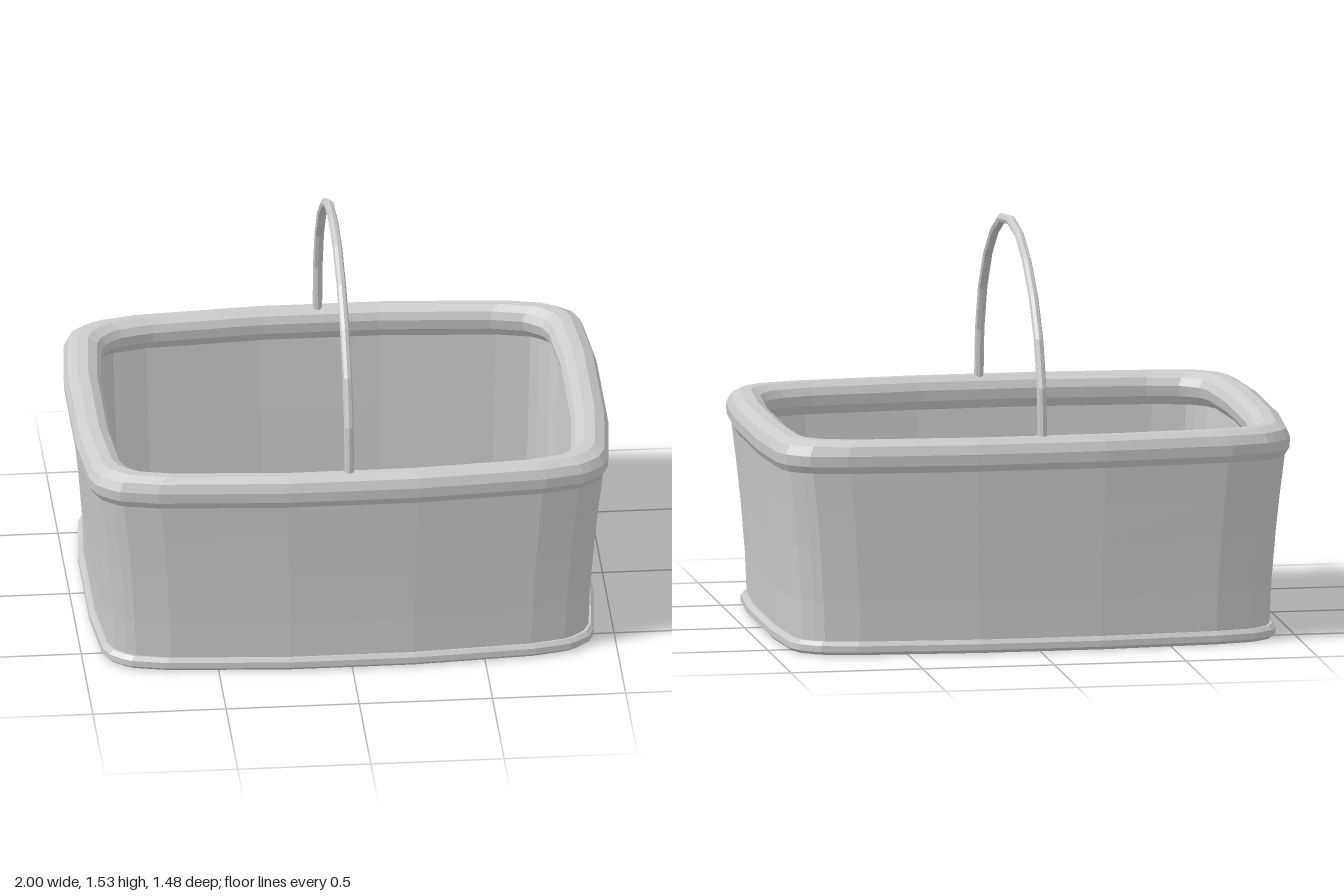
import * as THREE from 'three';

// One quarter of the rounded-rectangle outline, as fractions of the half width and half depth
const quarter = [[1, 0.34], [0.975, 0.74], [0.95, 0.825], [0.905, 0.88], [0.87, 0.91], [0.73, 0.953], [0.25, 1]];
const flipped = [...quarter].reverse();
const outline = [
  ...quarter,
  ...flipped.map(([x, z]) => [-x, z]),
  ...quarter.map(([x, z]) => [-x, -z]),
  ...flipped.map(([x, z]) => [x, -z]),
];

// Skins the outline through a profile of [half width, half depth, height] rows
function loft(profile) {
  const n = outline.length;
  const positions = [];
  const indices = [];
  for (const [w, d, y] of profile) {
    for (const [x, z] of outline) positions.push(x * w, y, z * d);
  }
  for (let r = 0; r < profile.length - 1; r++) {
    for (let i = 0; i < n; i++) {
      const a = r * n + i;
      const b = r * n + (i + 1) % n;
      indices.push(a, a + n, b, b, a + n, b + n);
    }
  }
  const geometry = new THREE.BufferGeometry();
  geometry.setAttribute('position', new THREE.Float32BufferAttribute(positions, 3));
  geometry.setIndex(indices);
  geometry.computeVertexNormals();
  return geometry;
}

export function createModel() {
  const group = new THREE.Group();
  const material = new THREE.MeshStandardMaterial({ color: 0xcccccc, flatShading: true, side: THREE.DoubleSide });
  const add = (name, geometry) => {
    const mesh = new THREE.Mesh(geometry, material);
    mesh.name = name;
    group.add(mesh);
    return mesh;
  };

  // Flared wall: up the outside, down the inside, across the floor
  add('basketBody', loft([
    [0.925, 0.69, 0.03], [0.932, 0.695, 0.2], [0.948, 0.705, 0.4], [0.965, 0.715, 0.56], [0.982, 0.725, 0.7],
    [0.982, 0.725, 0.74], [0.9, 0.67, 0.74],
    [0.9, 0.67, 0.7], [0.89, 0.662, 0.4], [0.88, 0.655, 0.04], [0, 0, 0.04],
  ]));

  // Base plate with a small bevelled lip
  add('base', loft([
    [0, 0, 0], [0.935, 0.695, 0], [0.947, 0.707, 0.012], [0.947, 0.707, 0.035], [0.935, 0.697, 0.05], [0.9, 0.67, 0.05],
  ]));

  // Rounded rim overhanging both sides of the wall
  add('rim', loft([
    [0.98, 0.723, 0.69], [0.997, 0.738, 0.72], [1, 0.741, 0.76], [0.985, 0.729, 0.795], [0.95, 0.705, 0.815],
    [0.91, 0.677, 0.815], [0.877, 0.655, 0.795], [0.862, 0.645, 0.765], [0.87, 0.65, 0.725], [0.9, 0.67, 0.69],
    [0.98, 0.723, 0.69],
  ]));

  // Hooped handle from the front rim to the back rim
  const half = [[0.685, 0.81], [0.66, 1.03], [0.587, 1.19], [0.475, 1.325], [0.335, 1.427], [0.175, 1.497]];
  const path = [
    ...half.map(([z, y]) => new THREE.Vector3(0, y, z)),
    new THREE.Vector3(0, 1.517, 0),
    ...[...half].reverse().map(([z, y]) => new THREE.Vector3(0, y, -z)),
  ];
  const curve = new THREE.CatmullRomCurve3(path);
  add('handle', new THREE.TubeGeometry(curve, path.length - 1, 0.018, 8)).position.x = -0.01;

  return group;
}
